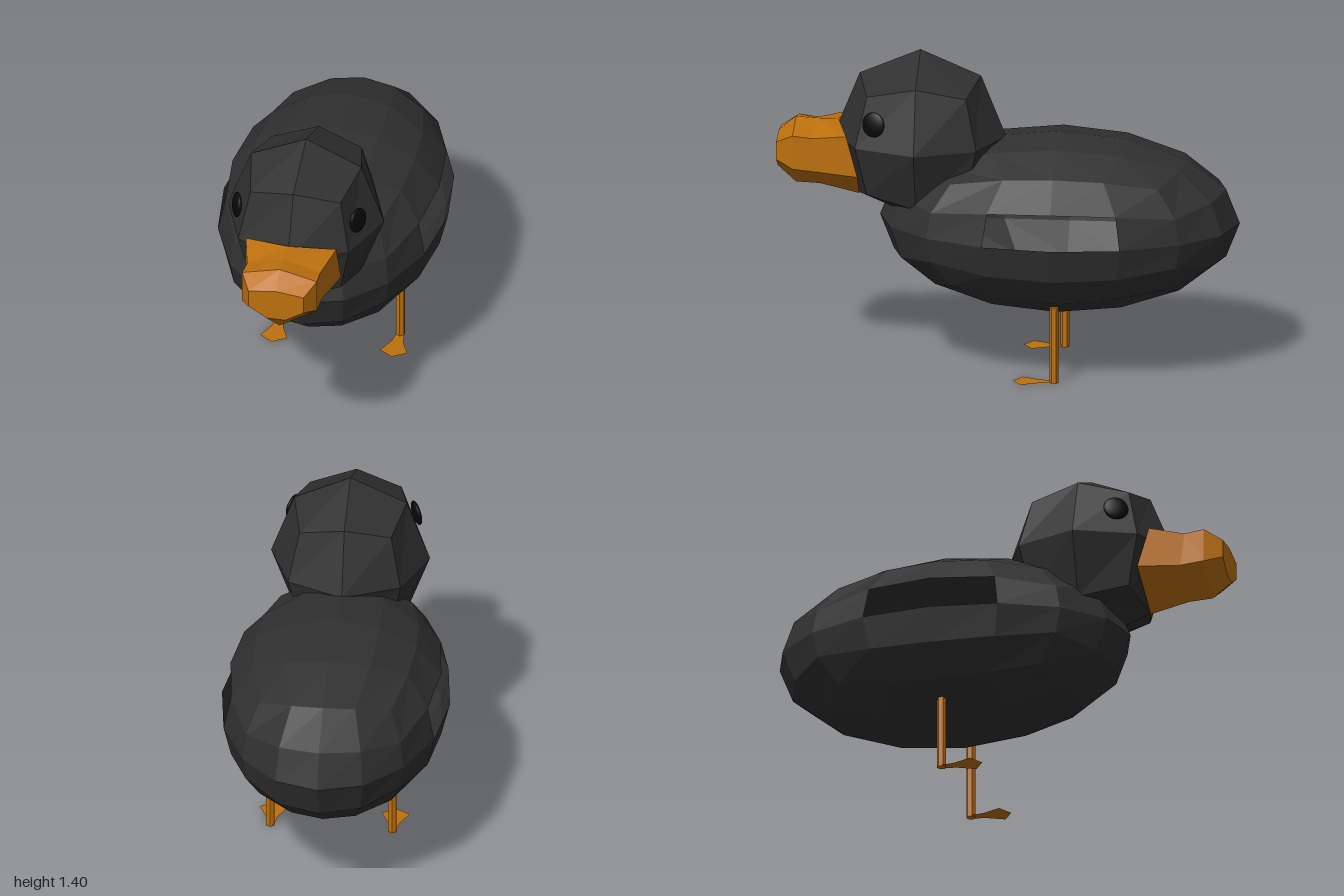
import * as THREE from 'three';

const paint = (color, flat = true) =>
  new THREE.MeshStandardMaterial({ color, flatShading: flat, side: THREE.DoubleSide });

// Box grid bulged into an ellipsoid; skip(x, y, z) drops faces by their centre on the unit cube
function cubeSphere(segments, radii, skip = () => false) {
  const geo = new THREE.BoxGeometry(2, 2, 2, segments, segments, segments);
  const pos = geo.attributes.position;
  const v = new THREE.Vector3();
  const kept = [];
  const idx = geo.index.array;
  for (let i = 0; i < idx.length; i += 3) {
    const c = new THREE.Vector3();
    for (let k = 0; k < 3; k++) c.add(v.fromBufferAttribute(pos, idx[i + k]));
    c.divideScalar(3);
    if (!skip(c.x, c.y, c.z)) kept.push(idx[i], idx[i + 1], idx[i + 2]);
  }
  geo.setIndex(kept);
  const bend = (t) => Math.tan((t * Math.PI) / 4);
  for (let i = 0; i < pos.count; i++) {
    v.fromBufferAttribute(pos, i);
    v.set(bend(v.x), bend(v.y), bend(v.z)).normalize().multiply(radii);
    pos.setXYZ(i, v.x, v.y, v.z);
  }
  geo.computeVertexNormals();
  return geo;
}

// Lofted beak from half sections: top middle, upper side, lower side, bottom
function beakGeometry() {
  const halves = [
    [[0, 1.08, 0.74], [0.2, 1.06, 0.69], [0.21, 0.88, 0.64], [0, 0.745, 0.65]],
    [[0, 1.08, 0.84], [0.162, 1.035, 0.84], [0.165, 0.885, 0.82], [0, 0.785, 0.82]],
    [[0, 1.085, 0.925], [0.165, 1.045, 0.925], [0.165, 0.895, 0.925], [0, 0.79, 0.925]],
    [[0, 1.02, 1], [0.122, 1.005, 1], [0.122, 0.925, 1], [0.042, 0.875, 1]],
  ];
  const rings = halves.map((h) => [
    ...h, ...[3, 2, 1].map((i) => [-h[i][0], h[i][1], h[i][2]]),
  ]);
  const n = 7;
  const index = [];
  for (let r = 0; r < rings.length - 1; r++) {
    for (let i = 0; i < n; i++) {
      const a = r * n + i, b = r * n + ((i + 1) % n);
      index.push(a, a + n, b, b, a + n, b + n);
    }
  }
  // flat tip
  const tip = (rings.length - 1) * n;
  for (let i = 1; i < n - 1; i++) index.push(tip, tip + i + 1, tip + i);
  const geo = new THREE.BufferGeometry();
  geo.setAttribute('position', new THREE.Float32BufferAttribute(rings.flat(2), 3));
  geo.setIndex(index);
  geo.computeVertexNormals();
  return geo;
}

// Flat webbed foot outline, heel at the origin, toes towards +z
function footGeometry() {
  const half = [[0.015, -0.015], [0.025, 0.06], [0.06, 0.14]];
  const outline = [...half, [0, 0.18], ...half.map(([x, z]) => [-x, z]).reverse()];
  const shape = new THREE.Shape(outline.map(([x, z]) => new THREE.Vector2(x, -z)));
  return new THREE.ShapeGeometry(shape).rotateX(-Math.PI / 2);
}

export function createModel() {
  const model = new THREE.Group();
  model.name = 'duckling';
  const plumage = paint(0x303030);
  const orange = paint(0xbd700d);
  const black = paint(0x080808, false);

  const add = (name, geo, mat, x = 0, y = 0, z = 0, parent = model) => {
    const mesh = new THREE.Mesh(geo, mat);
    mesh.name = name;
    mesh.position.set(x, y, z);
    parent.add(mesh);
    return mesh;
  };

  // Body with an opening on each flank
  const flank = (x, y, z) => Math.abs(x) > 0.99 && y > 0 && y < 0.5 && Math.abs(z) < 0.5;
  add('body', cubeSphere(4, new THREE.Vector3(0.495, 0.395, 0.78), flank), plumage, 0, 0.655, -0.22);

  add('head', cubeSphere(2, new THREE.Vector3(0.345, 0.383, 0.372)), plumage, 0, 1.02, 0.385);
  add('beak', beakGeometry(), orange);

  // Eyes: flattened balls lying on the cheeks
  for (const side of [1, -1]) {
    const eye = add(side > 0 ? 'leftEye' : 'rightEye', new THREE.SphereGeometry(0.055, 20, 14),
      black, side * 0.268, 1.138, side > 0 ? 0.565 : 0.56);
    eye.scale.z = 0.3;
    eye.rotation.set(-0.15, side * 1.15, 0, 'YXZ');
  }

  // Legs and feet
  for (const [name, x] of [['left', 0.285], ['right', -0.245]]) {
    const leg = new THREE.Group();
    leg.name = name + 'Leg';
    leg.position.set(x, 0, -0.22);
    model.add(leg);
    add(name + 'Shin', new THREE.CylinderGeometry(0.02, 0.02, 0.34, 6), orange, 0, 0.17, 0, leg);
    add(name + 'Foot', footGeometry(), orange, 0, 0.004, 0, leg);
  }
  return model;
}
